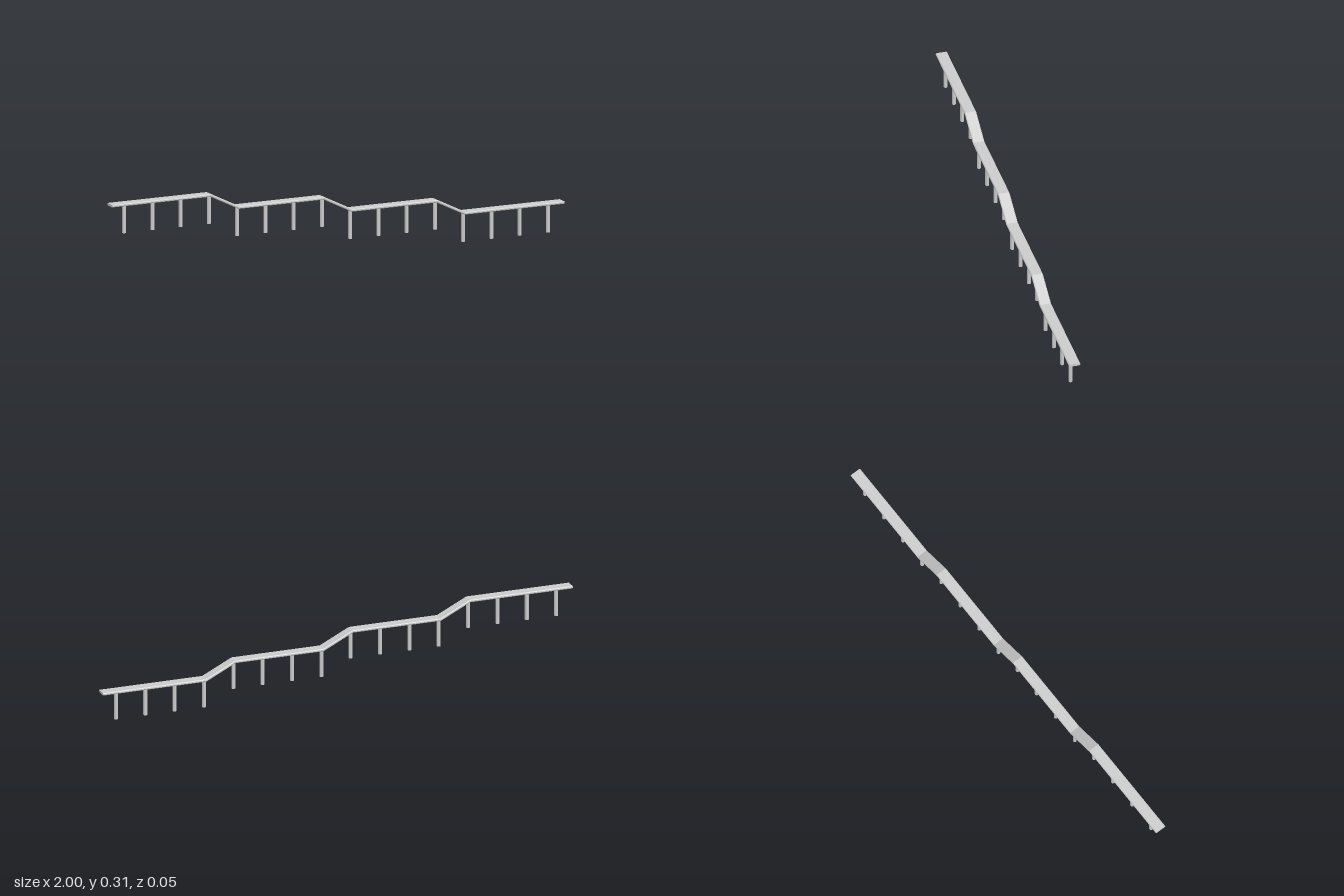
import * as THREE from 'three';

const STEP = 0.0625;      // drop between landings and half the post spacing
const RAIL_TOP = 0.125;   // rail top above the foot of its posts
const THICK = 0.0105;
const HALF_W = 0.0235;
const CHAMFER = 0.003;

const material = new THREE.MeshStandardMaterial({ color: 0xcccccc, flatShading: true });

// Sweeps a convex profile [across, up] along a path in the xy plane with mitred corners
function sweep(path, profile) {
  const n = profile.length, pos = [], idx = [];
  path.forEach((p, i) => {
    const d0 = p.clone().sub(path[Math.max(i - 1, 0)]).normalize();
    const d1 = path[Math.min(i + 1, path.length - 1)].clone().sub(p).normalize();
    const t = d0.clone().add(d1).normalize();
    const stretch = 1 / t.dot(d1.lengthSq() > 0 ? d1 : d0);
    for (const [u, v] of profile) {
      pos.push(p.x - t.y * v * stretch, p.y + t.x * v * stretch, -u);
    }
  });
  for (let i = 0; i < path.length - 1; i++) {
    for (let j = 0; j < n; j++) {
      const k = (j + 1) % n;
      const a = i * n + j, b = i * n + k, c = b + n, d = a + n;
      idx.push(a, b, c, a, c, d);
    }
  }
  // End caps
  const last = (path.length - 1) * n;
  for (let j = 1; j < n - 1; j++) {
    idx.push(0, j + 1, j, last, last + j, last + j + 1);
  }
  const g = new THREE.BufferGeometry();
  g.setAttribute('position', new THREE.Float32BufferAttribute(pos, 3));
  g.setIndex(idx);
  const flat = g.toNonIndexed();
  flat.computeVertexNormals();
  return flat;
}

export function createModel() {
  const group = new THREE.Group();

  // Rail: four level runs joined by three slopes
  const path = [];
  for (let k = 0; k < 4; k++) {
    const y = (3 - k) * STEP + RAIL_TOP;
    const start = k === 0 ? -1 : -0.9375 + k * 0.5;
    const end = k === 3 ? 1 : -0.5625 + k * 0.5;
    path.push(new THREE.Vector2(start, y), new THREE.Vector2(end, y));
  }
  const w = HALF_W, c = CHAMFER, t = THICK;
  const profile = [
    [-w + c, -t], [w - c, -t], [w, -t + c], [w, -c],
    [w - c, 0], [-w + c, 0], [-w, -c], [-w, -t + c],
  ];
  const rail = new THREE.Mesh(sweep(path, profile), material);
  rail.name = 'handrail';
  group.add(rail);

  // Posts: four under each level run
  const height = RAIL_TOP - THICK + 0.003;
  const postGeometry = new THREE.CylinderGeometry(0.008, 0.008, height, 8);
  postGeometry.rotateY(Math.PI / 8);
  const posts = new THREE.Group();
  posts.name = 'posts';
  for (let i = 0; i < 16; i++) {
    const post = new THREE.Mesh(postGeometry, material);
    post.name = 'post';
    post.position.set(-0.9375 + i * 2 * STEP, (3 - Math.floor(i / 4)) * STEP + height / 2, 0);
    posts.add(post);
  }
  group.add(posts);
  return group;
}
